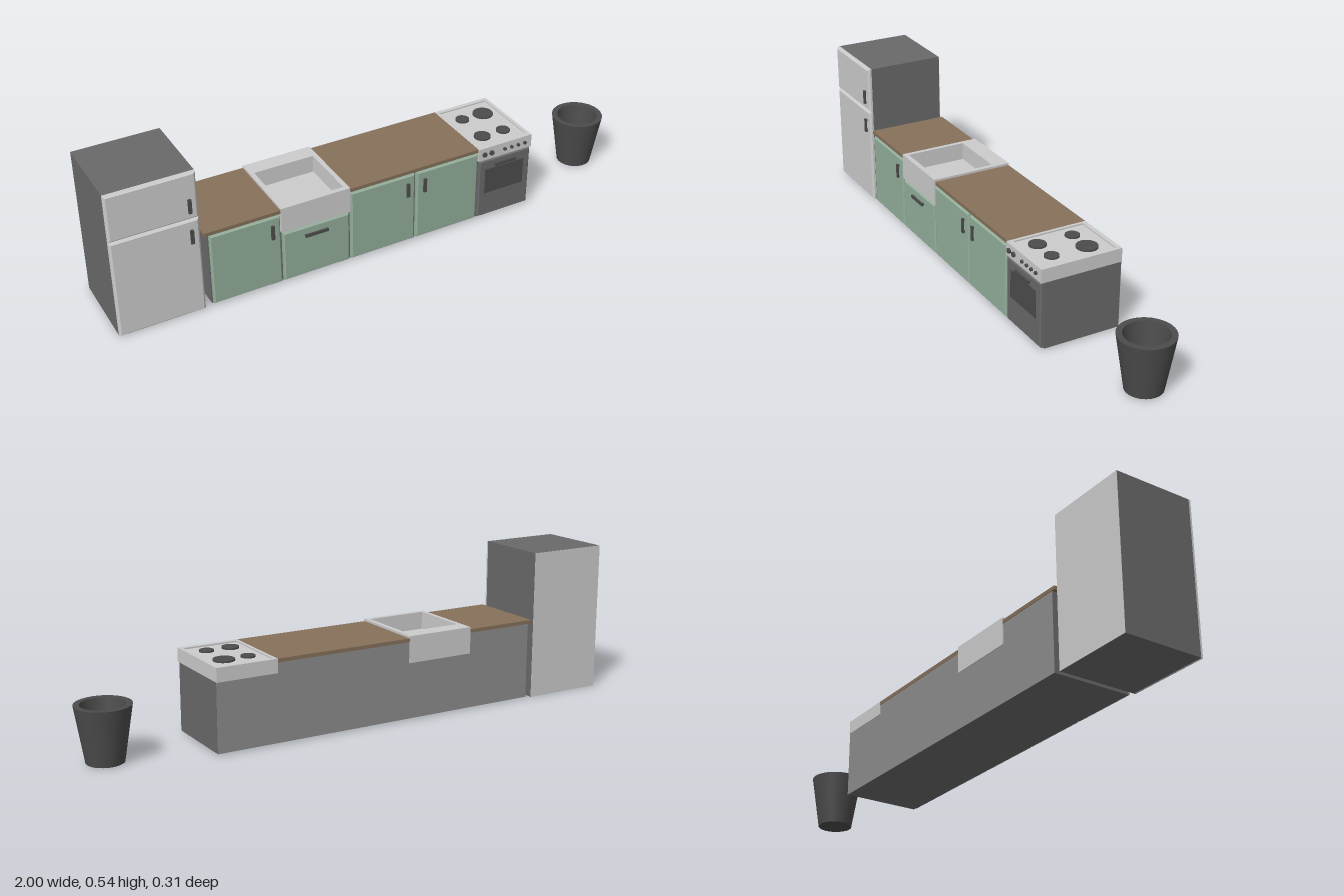
import * as THREE from 'three';

const material = (color) => new THREE.MeshStandardMaterial({ color });
const light = material(0xcccccc);
const dark = material(0x696969);
const black = material(0x4c4c4c);
const green = material(0x93ae9b);
const wood = material(0x86705a);
const backGrey = material(0x8c8c8c);

const BACK = -0.152, BODY = 0.132, FRONT = 0.146;

function add(parent, name, geometry, mat) {
  const mesh = new THREE.Mesh(geometry, mat);
  mesh.name = name;
  parent.add(mesh);
  return mesh;
}

// Box given by its minimum and maximum on each axis
function box(parent, name, mat, x0, x1, y0, y1, z0, z1) {
  const mesh = add(parent, name, new THREE.BoxGeometry(x1 - x0, y1 - y0, z1 - z0), mat);
  mesh.position.set((x0 + x1) / 2, (y0 + y1) / 2, (z0 + z1) / 2);
  return mesh;
}

function rect(path, x0, x1, y0, y1) {
  path.moveTo(x0, y0);
  path.lineTo(x1, y0);
  path.lineTo(x1, y1);
  path.lineTo(x0, y1);
  path.closePath();
  return path;
}

// Front panel with chamfered front edges
function door(parent, name, mat, x0, x1, y0, y1, bevel = 0.005) {
  const shape = rect(new THREE.Shape(), x0 + bevel, x1 - bevel, y0 + bevel, y1 - bevel);
  const geo = new THREE.ExtrudeGeometry(shape, {
    depth: FRONT - BODY - bevel, bevelEnabled: true, bevelSize: bevel,
    bevelThickness: bevel, bevelSegments: 1,
  });
  return add(parent, name, geo.translate(0, 0, BODY), mat);
}

// Flat horizontal frame: outer and inner rectangles as [x0, x1, z0, z1]
function frame(parent, name, mat, outer, inner, y0, y1) {
  const shape = rect(new THREE.Shape(), outer[0], outer[1], -outer[3], -outer[2]);
  shape.holes.push(rect(new THREE.Path(), inner[0], inner[1], -inner[3], -inner[2]));
  const geo = new THREE.ExtrudeGeometry(shape, { depth: y1 - y0, bevelEnabled: false });
  return add(parent, name, geo.rotateX(-Math.PI / 2).translate(0, y0, 0), mat);
}

// Bar pull standing off a door
function handle(parent, x, y, w, h) {
  const g = new THREE.Group();
  g.name = 'handle';
  box(g, 'handleBar', black, x - w / 2, x + w / 2, y - h / 2, y + h / 2, FRONT + 0.003, 0.155);
  for (const s of [-1, 1]) {
    const px = x + (w > h ? s * (w / 2 - 0.005) : 0);
    const py = y + (h > w ? s * (h / 2 - 0.005) : 0);
    box(g, 'handlePost', black, px - 0.004, px + 0.004, py - 0.004, py + 0.004, FRONT - 0.002, FRONT + 0.004);
  }
  parent.add(g);
}

function group(parent, name) {
  const g = new THREE.Group();
  g.name = name;
  parent.add(g);
  return g;
}

function createFridge(parent) {
  const g = group(parent, 'fridge');
  box(g, 'fridgeBody', dark, -1, -0.7, 0.002, 0.54, BACK + 0.001, BODY);
  box(g, 'fridgeBack', light, -1, -0.7, 0.002, 0.54, BACK, BACK + 0.001);
  door(g, 'fridgeLowerDoor', light, -1, -0.7, 0.002, 0.367, 0.007);
  door(g, 'fridgeUpperDoor', light, -1, -0.7, 0.369, 0.54, 0.007);
  handle(g, -0.73, 0.306, 0.012, 0.052);
  handle(g, -0.73, 0.422, 0.012, 0.052);
}

function createCabinets(parent) {
  const g = group(parent, 'cabinets');
  // x0, x1, top, handle x
  const units = [
    [-0.675, -0.417, 0.285, -0.452],
    [-0.417, -0.161, 0.208, null],
    [-0.161, 0.096, 0.285, 0.062],
    [0.096, 0.352, 0.285, 0.129],
  ];
  for (const [x0, x1, top, hx] of units) {
    box(g, 'cabinetBody', dark, x0, x1, 0.007, top, BACK + 0.001, BODY);
    box(g, 'cabinetBack', backGrey, x0, x1, 0.007, top, BACK, BACK + 0.001);
    door(g, 'cabinetDoor', green, x0 + 0.004, x1 - 0.004, 0.011, top - 0.005);
    if (hx === null) handle(g, -0.291, 0.171, 0.086, 0.011);
    else handle(g, hx, 0.225, 0.012, 0.053);
  }
  box(g, 'worktopLeft', wood, -0.688, -0.417, 0.283, 0.296, BACK - 0.002, 0.141);
  box(g, 'worktopRight', wood, -0.161, 0.352, 0.283, 0.296, BACK - 0.002, 0.141);
}

function createSink(parent) {
  const g = group(parent, 'sink');
  const outer = [-0.417, -0.161, BACK - 0.003, FRONT];
  frame(g, 'sinkWalls', light, outer, [-0.401, -0.178, -0.094, 0.128], 0.24, 0.304);
  box(g, 'sinkBase', light, outer[0], outer[1], 0.208, 0.24, outer[2], outer[3]);
}

function createStove(parent) {
  const g = group(parent, 'stove');
  const x0 = 0.352, x1 = 0.573;
  box(g, 'stoveBody', dark, x0, x1, 0.007, 0.247, BACK + 0.001, BODY);
  box(g, 'stoveBack', backGrey, x0, x1, 0.007, 0.247, BACK, BACK + 0.001);
  box(g, 'hobBody', light, x0, x1, 0.247, 0.291, BACK - 0.002, FRONT);
  frame(g, 'hobRim', light, [x0, x1, BACK - 0.002, FRONT], [0.363, 0.56, -0.138, 0.126], 0.291, 0.296);
  for (const [x, z, r] of [
    [0.415, -0.065, 0.025], [0.503, -0.065, 0.037],
    [0.415, 0.067, 0.03], [0.503, 0.067, 0.025],
  ]) {
    const plate = add(g, 'burner', new THREE.CylinderGeometry(r, r, 0.006, 32), black);
    plate.position.set(x, 0.294, z);
  }
  // Control knobs
  [0.374, 0.403, 0.458, 0.487, 0.515, 0.543].forEach((x, i) => {
    const r = i < 2 ? 0.009 : 0.006;
    const knob = add(g, 'knob', new THREE.CylinderGeometry(r, r, 0.008, 20).rotateX(Math.PI / 2), black);
    knob.position.set(x, 0.272, FRONT + 0.003);
  });
  // Oven door, its window and pull
  door(g, 'ovenDoor', dark, x0 + 0.004, x1 - 0.003, 0.011, 0.244);
  box(g, 'ovenWindow', black, 0.381, 0.543, 0.106, 0.206, FRONT - 0.004, FRONT + 0.001);
  handle(g, 0.462, 0.22, 0.086, 0.011);
}

function createBin(parent) {
  const g = group(parent, 'bin');
  const profile = [[0, 0.004], [0.063, 0.004], [0.094, 0.196], [0.074, 0.196], [0.051, 0.03], [0, 0.03]];
  // Separate bands keep the rims sharp and the walls smooth
  for (let i = 0; i < profile.length - 1; i++) {
    const pts = [profile[i], profile[i + 1]].map(([r, y]) => new THREE.Vector2(r, y));
    add(g, 'binWall', new THREE.LatheGeometry(pts, 40), black);
  }
  g.position.set(0.906, 0, -0.022);
}

export function createModel() {
  const model = new THREE.Group();
  model.name = 'kitchen';
  createFridge(model);
  createCabinets(model);
  createSink(model);
  createStove(model);
  createBin(model);
  return model;
}
